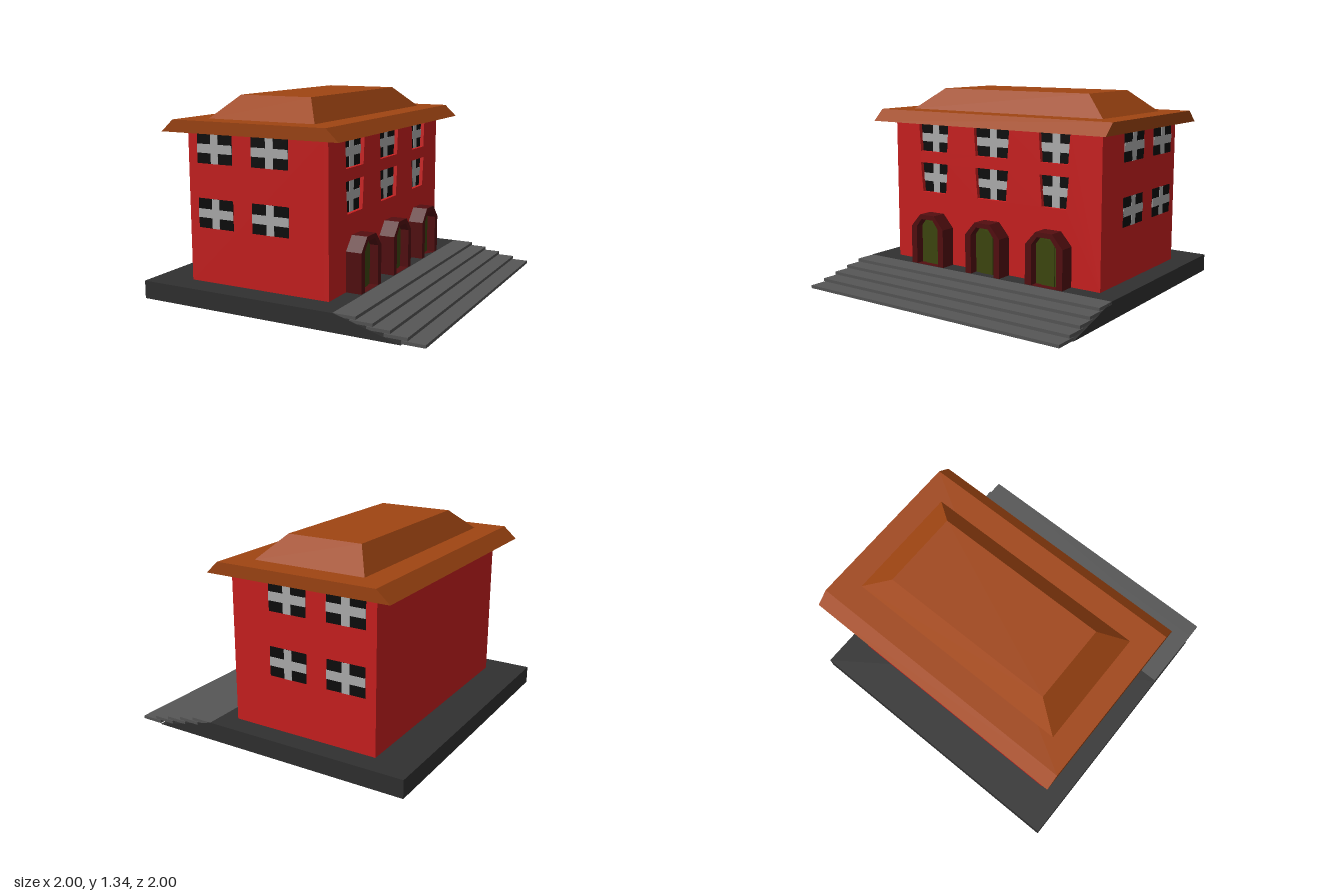
import * as THREE from 'three';

const paint = (color) => new THREE.MeshStandardMaterial({ color, flatShading: true });
const RED = paint(0xcc2020), ROOF = paint(0xa04512), STONE = paint(0x303030), STEP = paint(0x565656);
const BLACK = paint(0x0c0c0c), BAR = paint(0xb0b0b0), FRAME = paint(0x540e10), DOOR = paint(0x3e470e);

function add(parent, name, geometry, material) {
  const mesh = new THREE.Mesh(geometry, material);
  mesh.name = name;
  parent.add(mesh);
  return mesh;
}

// Box given by its limits on each axis
function span(x0, x1, y0, y1, z0, z1) {
  return new THREE.BoxGeometry(x1 - x0, y1 - y0, z1 - z0)
    .translate((x0 + x1) / 2, (y0 + y1) / 2, (z0 + z1) / 2);
}

// Block whose bottom and top rectangles are [x0, x1, z0, z1]
function frustum(bottom, y0, top, y1) {
  const g = new THREE.BoxGeometry(1, 1, 1);
  const p = g.attributes.position;
  for (let i = 0; i < p.count; i++) {
    const up = p.getY(i) > 0, r = up ? top : bottom;
    p.setXYZ(i, p.getX(i) < 0 ? r[0] : r[1], up ? y1 : y0, p.getZ(i) < 0 ? r[2] : r[3]);
  }
  g.computeVertexNormals();
  return g;
}

const polygon = (pts, Type = THREE.Shape) => new Type(pts.map(([x, y]) => new THREE.Vector2(x, y)));
const extrude = (shape, depth, z = 0) =>
  new THREE.ExtrudeGeometry(shape, { depth, bevelEnabled: false }).translate(0, 0, z);

// Trapezoid outline, a little narrower at the bottom by taper
const outline = ({ u, w, y0, y1, taper = 0 }) => [
  [u - w / 2 + taper, y0], [u + w / 2 - taper, y0], [u + w / 2, y1], [u - w / 2, y1]];

// Dark pane with a cross of two glazing bars
function addWindow(parent, win, z) {
  const { u, w, y0, y1, taper = 0 } = win, mid = (y0 + y1) / 2, g = new THREE.Group();
  g.name = 'window';
  add(g, 'pane', extrude(polygon(outline(win)), 0.003, z), BLACK);
  add(g, 'verticalBar', span(u - 0.028, u + 0.028, y0, y1, z, z + 0.006), BAR);
  const hw = w / 2 - taper / 2;
  add(g, 'horizontalBar', span(u - hw, u + hw, mid - 0.029, mid + 0.029, z, z + 0.006), BAR);
  parent.add(g);
}

// Arched outline with chamfered shoulders
const arch = (u, half, shoulder, top, topHalf) => [
  [u - half, 0.12], [u + half, 0.12], [u + half, shoulder],
  [u + topHalf, top], [u - topHalf, top], [u - half, shoulder]];

function addDoorway(parent, u, z) {
  const g = new THREE.Group();
  g.name = 'doorway';
  const surround = polygon(arch(u, 0.142, 0.385, 0.475, 0.062));
  surround.holes.push(polygon(arch(u, 0.095, 0.385, 0.443, 0.05), THREE.Path));
  add(g, 'doorSurround', extrude(surround, 0.11, z), FRAME);
  add(g, 'door', extrude(polygon(arch(u, 0.095, 0.385, 0.443, 0.05)), 0.05, z), DOOR);
  add(g, 'doorPanel', extrude(polygon(arch(u, 0.05, 0.385, 0.42, 0.03)), 0.008, z + 0.05), DOOR);
  parent.add(g);
}

export function createModel() {
  const model = new THREE.Group();
  model.name = 'house';

  // Plinth with a sloping flank beneath the stairs
  const plinth = polygon([[-1, 0], [0.85, 0], [0.41, 0.12], [-1, 0.12]]);
  add(model, 'plinth', extrude(plinth, 2, -1), STONE);

  // Overlapping stair treads
  for (let i = 0; i < 5; i++) {
    const x = 0.41 + i * 0.11, top = 0.12 - i * 0.0235;
    add(model, 'stairTread', span(x, x + 0.15, top - 0.02, top, -1, 0.995), STEP);
  }

  // House body; the entrance wall is a separate slab with window openings
  add(model, 'body', span(-0.735, 0.265, 0.12, 1.11, -0.855, 0.83), RED);

  // Entrance side, where local x runs toward -z and local z points outward
  const facade = new THREE.Group();
  facade.name = 'entranceSide';
  facade.rotation.y = Math.PI / 2;
  model.add(facade);
  const wall = polygon([[-0.83, 0.12], [0.855, 0.12], [0.855, 1.11], [-0.83, 1.11]]);
  const columns = [[-0.487, 0.265, 0.245], [0.013, 0.292, 0.272], [0.508, 0.235, 0.219]];
  for (const [u, upper, lower] of columns) {
    for (const win of [
      { u, w: upper, y0: 0.905, y1: 1.1, taper: 0.014 },
      { u, w: lower, y0: 0.617, y1: 0.825, taper: 0.018 }]) {
      wall.holes.push(polygon(outline(win), THREE.Path));
      addWindow(facade, win, 0.265);
    }
  }
  add(facade, 'entranceWall', extrude(wall, 0.03, 0.265), RED);
  for (const u of [-0.468, 0.013, 0.502]) addDoorway(facade, u, 0.294);

  // Gable-end windows on the front and, mirrored, on the back
  for (const [name, sign, face] of [['frontSide', 1, 0.83], ['backSide', -1, 0.855]]) {
    const side = new THREE.Group();
    side.name = name;
    side.rotation.y = sign > 0 ? 0 : Math.PI;
    for (const x of [-0.53, -0.117])
      for (const y0 of [0.485, 0.907])
        addWindow(side, { u: sign * x, w: 0.268, y0, y1: y0 + 0.194 }, face);
    model.add(side);
  }

  // Eaves and hipped upper roof
  add(model, 'eaves', frustum([-0.865, 0.42, -0.943, 0.933], 1.11, [-0.775, 0.335, -0.943, 0.933], 1.19), ROOF);
  add(model, 'upperRoof', frustum([-0.61, 0.17, -0.783, 0.772], 1.19, [-0.485, 0.04, -0.605, 0.59], 1.335), ROOF);
  return model;
}
